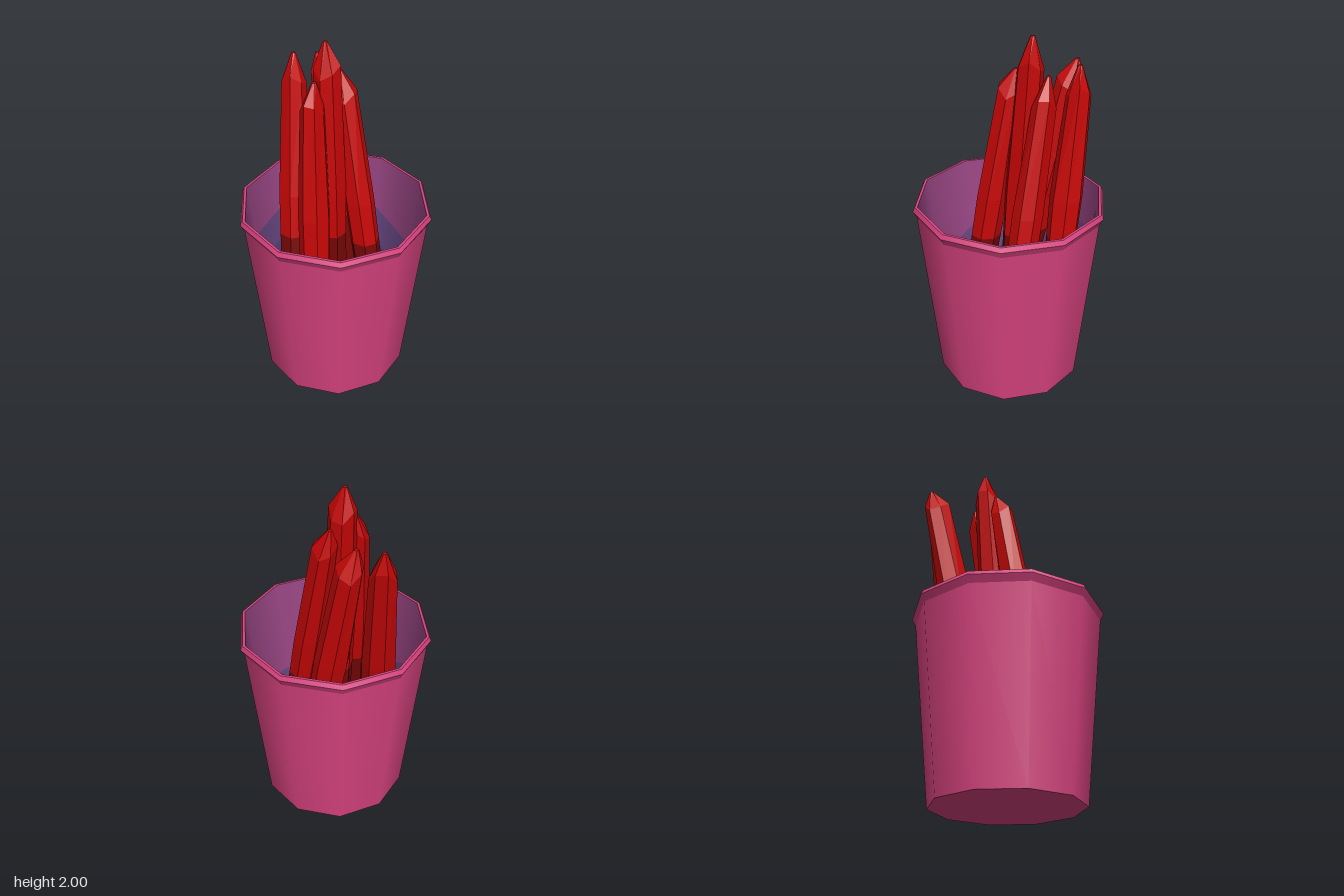
import * as THREE from 'three';

const material = (name, color, extra = {}) => {
  const m = new THREE.MeshStandardMaterial({ color, ...extra });
  m.name = name;
  return m;
};

const SIDES = 10;

export function createModel() {
  const pink = material('pink', 0xd8437f);
  const mauve = material('mauve', 0xa04a8a);
  const violet = material('violet', 0x6c4a88);
  const blue = material('dusk blue', 0x504683);
  const red = material('crystal red', 0xc40606, { flatShading: true });
  const darkRed = material('deep red', 0x740505, { flatShading: true });

  const model = new THREE.Group();
  model.name = 'crystalCup';

  const add = (parent, name, geometry, mat) => {
    const mesh = new THREE.Mesh(geometry, mat);
    mesh.name = name;
    parent.add(mesh);
    return mesh;
  };

  // Ten-sided cup: each profile is turned separately to keep its edges crisp
  const cup = new THREE.Group();
  cup.name = 'cup';
  model.add(cup);
  const lathe = (points) => new THREE.LatheGeometry(
    points.map(([r, y]) => new THREE.Vector2(r, y)), SIDES, Math.PI / 2);
  const turned = (name, points, mat) => add(cup, name, lathe(points), mat);

  turned('outerWall', [[0.415, 0], [0.52, 1.04]], pink);
  turned('lipFlare', [[0.52, 1.04], [0.54, 1.08]], pink);
  turned('lipBevel', [[0.54, 1.08], [0.528, 1.105]], pink);
  turned('lipTop', [[0.528, 1.105], [0.513, 1.105]], pink);

  // Inner wall in three colour bands whose seams climb towards the back
  const innerBand = (name, top, bottom, mat) => {
    const g = lathe([[1, 1], [1, 0]]);
    const p = g.attributes.position;
    for (let i = 0; i < p.count; i++) {
      const [height, climb] = p.getY(i) > 0.5 ? top : bottom;
      const y = height - climb * 0.45 * p.getZ(i);
      const r = 0.38 + (y - 0.04) * 0.125;
      p.setXYZ(i, p.getX(i) * r, y, p.getZ(i) * r);
    }
    add(cup, name, g, mat);
  };
  innerBand('innerWallUpper', [1.105, 0], [0.68, 0.35], mauve);
  innerBand('innerWallMiddle', [0.68, 0.35], [0.45, 0.45], violet);
  innerBand('innerWallLower', [0.45, 0.45], [0.04, 0], blue);

  const disc = (name, radius, y, tilt, mat) => {
    const mesh = add(cup, name, new THREE.CircleGeometry(radius, SIDES), mat);
    mesh.rotation.x = tilt;
    mesh.position.y = y;
  };
  disc('innerFloor', 0.38, 0.04, -Math.PI / 2, blue);
  disc('underside', 0.415, 0, Math.PI / 2, pink);

  // Leaning crystals: tip, shoulder and base centres, with shoulder, middle and base radii
  const crystals = [
    { tip: [0, 2, -0.135], shoulder: [0.005, 1.85, -0.12], base: [0, 0.45, -0.02], r: [0.073, 0.09, 0.08] },
    { tip: [-0.08, 1.81, -0.085], shoulder: [-0.1, 1.69, -0.06], base: [-0.165, 0.45, 0.13], r: [0.066, 0.09, 0.082] },
    { tip: [0.095, 1.805, -0.175], shoulder: [0.11, 1.68, -0.14], base: [0.2, 0.45, 0.1], r: [0.067, 0.086, 0.08] },
    { tip: [-0.06, 1.8, -0.465], shoulder: [-0.075, 1.67, -0.43], base: [-0.19, 0.38, -0.18], r: [0.072, 0.094, 0.085] },
    { tip: [0.055, 1.81, -0.4], shoulder: [0.08, 1.68, -0.38], base: [0.19, 0.5, -0.19], r: [0.07, 0.094, 0.08] },
  ];

  // Seven-sided loft through rings listed from top to bottom
  const loft = (rings, seed) => {
    const rows = rings.length - 1;
    const g = new THREE.CylinderGeometry(1, 1, 1, 7, rows);
    const p = g.attributes.position;
    const turn = seed * 0.7, c = Math.cos(turn), s = Math.sin(turn);
    for (let i = 0; i < p.count; i++) {
      const { centre, radius, cut = 0 } = rings[Math.round((0.5 - p.getY(i)) * rows)];
      const x = p.getX(i), z = p.getZ(i);
      // Uneven shoulder heights give each point a natural cut
      const lift = cut * Math.sin(2 * Math.atan2(z, x) + seed * 1.9);
      p.setXYZ(i, centre[0] + (x * c + z * s) * radius, centre[1] + lift, centre[2] + (z * c - x * s) * radius);
    }
    g.computeVertexNormals();
    return g;
  };

  const cluster = new THREE.Group();
  cluster.name = 'crystals';
  model.add(cluster);
  crystals.forEach(({ tip, shoulder, base, r }, i) => {
    const along = (t) => shoulder.map((v, k) => v + (base[k] - v) * t);
    const seam = { centre: along(0.7), radius: r[1] * 0.6 + r[2] * 0.4 };
    const crystal = new THREE.Group();
    crystal.name = `crystal${i + 1}`;
    cluster.add(crystal);
    add(crystal, 'crystalPoint', loft([
      { centre: tip, radius: 0.012 },
      { centre: shoulder, radius: r[0], cut: 0.035 },
      { centre: along(0.5), radius: r[1] },
      seam,
    ], i), red);
    add(crystal, 'crystalRoot', loft([
      seam,
      { centre: base, radius: r[2] },
      { centre: [base[0], 0.12, base[2]], radius: 0.04 },
    ], i), darkRed);
  });

  return model;
}
